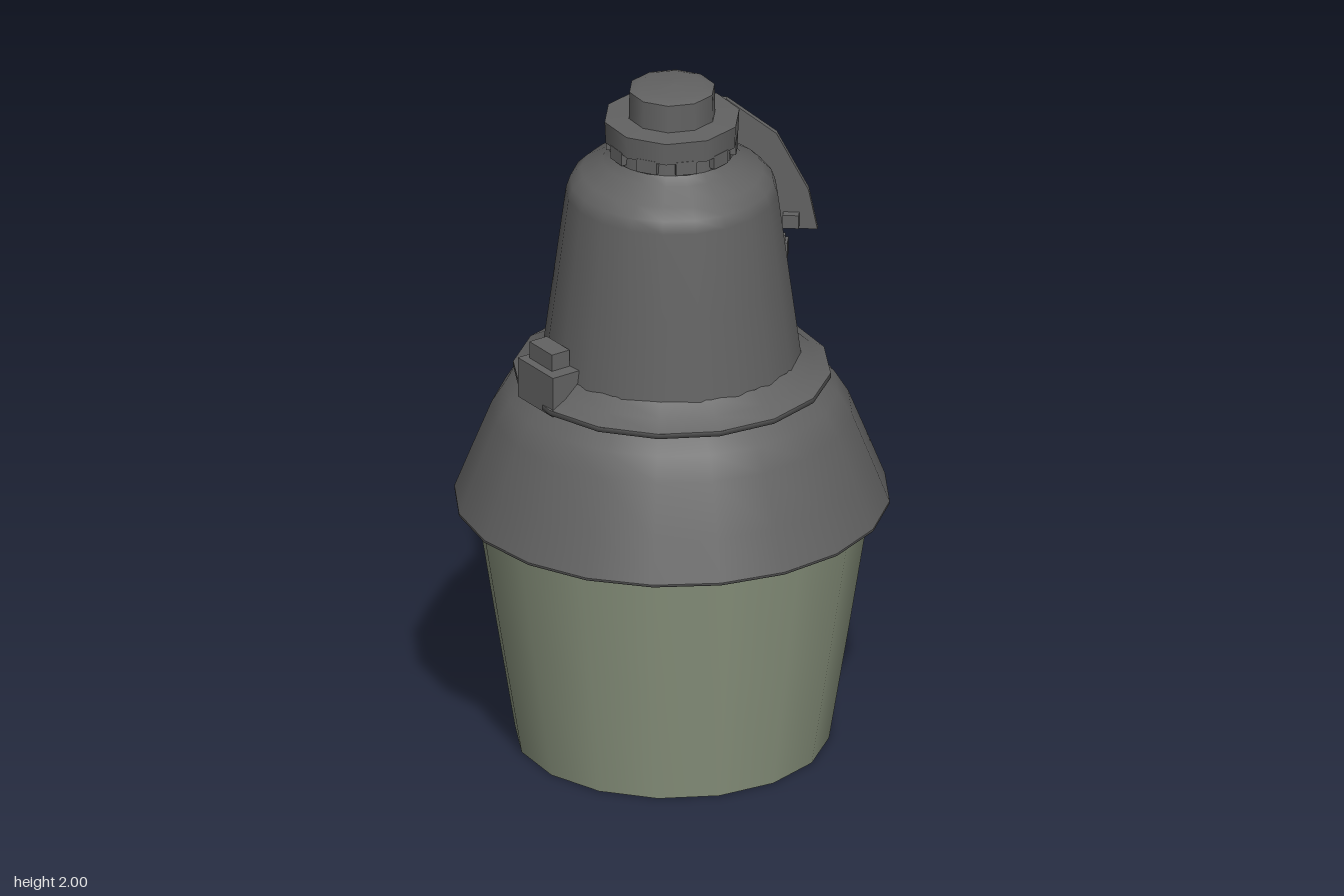
import * as THREE from 'three';
import { ParametricGeometry } from 'three/addons/geometries/ParametricGeometry.js';

const AXIS_Z = 0.165; // lamp axis

export function createModel() {
  const root = new THREE.Group();
  root.name = 'yardLight';
  const mat = (name, color) => {
    const m = new THREE.MeshStandardMaterial({ color, side: THREE.DoubleSide });
    m.name = name;
    return m;
  };
  const metal = mat('greyMetal', 0x626262);
  const glass = mat('greenGlass', 0x8b957f);
  const red = mat('redWire', 0x8c3e30);

  const add = (name, geo, material, x = 0, y = 0, z = 0, parent = root) => {
    const mesh = new THREE.Mesh(geo, material);
    mesh.name = name;
    mesh.position.set(x, y, z);
    parent.add(mesh);
    return mesh;
  };
  const lamp = new THREE.Group();
  lamp.name = 'lamp';
  lamp.position.z = AXIS_Z;
  root.add(lamp);
  const lathe = (name, pts, sides, material) =>
    add(name, new THREE.LatheGeometry(pts.map(p => new THREE.Vector2(...p)), sides), material, 0, 0, 0, lamp);

  // Glass lens with its slightly recessed bottom
  lathe('lens', [[0.44, 0], [0.5, 0.37], [0.557, 0.735]], 16, glass);
  lathe('lensBottom', [[0, 0.03], [0.3, 0.02], [0.44, 0]], 16, glass);

  // Domed shade and its underside
  lathe('shade', [[0.61, 0.735], [0.565, 0.85], [0.505, 1.0], [0.465, 1.065], [0.41, 1.115]], 20, metal);
  lathe('shadeUnderside', [[0.53, 0.735], [0.61, 0.73], [0.61, 0.737]], 20, metal);

  // Housing with base flange
  lathe('flangeUnderside', [[0.38, 1.11], [0.445, 1.11], [0.445, 1.125]], 16, metal);
  lathe('flange', [[0.445, 1.125], [0.4, 1.15], [0.362, 1.185]], 16, metal);
  lathe('housing', [[0.362, 1.18], [0.33, 1.42], [0.297, 1.67], [0.285, 1.705], [0.255, 1.735], [0.195, 1.77], [0.175, 1.795]], 20, metal);
  lathe('neck', [[0.175, 1.79], [0.172, 1.85]], 10, metal);

  // Collar, teeth and sensor on top
  lathe('collarUnderside', [[0.16, 1.835], [0.19, 1.835]], 10, metal);
  lathe('collar', [[0.19, 1.835], [0.193, 1.9]], 10, metal);
  lathe('collarTop', [[0.193, 1.9], [0.11, 1.905]], 10, metal);
  lathe('sensor', [[0.124, 1.9], [0.122, 1.985]], 10, metal);
  lathe('sensorTop', [[0.122, 1.985], [0.09, 1.997], [0, 2.0]], 10, metal);
  for (let i = 0; i < 10; i++) {
    const a = (i + 0.5) * Math.PI / 5;
    const tooth = add('collarTooth', new THREE.BoxGeometry(0.06, 0.04, 0.02), metal,
      Math.sin(a) * 0.172, 1.82, Math.cos(a) * 0.172, lamp);
    tooth.rotation.y = a;
  }

  // Latch on the flange
  const latch = new THREE.Group();
  latch.name = 'latch';
  latch.position.set(-0.325, 0, 0.375);
  latch.rotation.y = -0.87;
  root.add(latch);
  add('latchBase', new THREE.BoxGeometry(0.17, 0.12, 0.11), metal, 0.01, 1.165, 0, latch);
  add('latchBlock', new THREE.BoxGeometry(0.11, 0.05, 0.06), metal, 0, 1.25, 0, latch);

  // Arched arm, open below, widening where it meets the housing
  add('arm', new ParametricGeometry((u, v, p) => {
    const a = u * Math.PI;
    const z = -0.02 - 0.64 * v;
    const flare = Math.max(0, 1 - v / 0.45) ** 2;
    const c = Math.cos(a);
    const w = 0.216 + 0.05 * flare;
    const y0 = 1.19 - 0.08 * flare;
    p.set(w * Math.sign(c) * Math.abs(c) ** 0.8, y0 + (1.452 - y0 + 0.02 * flare) * Math.sin(a) ** 0.85, z);
  }, 20, 14), metal);

  // Horseshoe flange at the end of the arm
  const arch = new THREE.Shape();
  arch.moveTo(0.335, 1.18);
  arch.lineTo(0.31, 1.3);
  arch.lineTo(0.22, 1.47);
  arch.lineTo(0.08, 1.57);
  arch.lineTo(-0.08, 1.57);
  arch.lineTo(-0.22, 1.47);
  arch.lineTo(-0.31, 1.3);
  arch.lineTo(-0.335, 1.18);
  arch.lineTo(-0.21, 1.18);
  arch.absellipse(0, 1.19, 0.208, 0.25, Math.PI, 0, true);
  arch.lineTo(0.21, 1.18);
  add('armFlange', new THREE.ExtrudeGeometry(arch, { depth: 0.018, bevelEnabled: false, curveSegments: 10 }), metal, 0, 0, -0.675);

  // Bolts on the flange, and clamps beside the arm
  add('topBolt', new THREE.ConeGeometry(0.02, 0.08, 6).rotateX(-Math.PI / 2), metal, 0, 1.55, -0.68);
  for (const s of [-1, 1]) {
    add('sideBolt', new THREE.BoxGeometry(0.025, 0.03, 0.11), metal, s * 0.262, 1.21, -0.695);
    add('boltHead', new THREE.BoxGeometry(0.045, 0.04, 0.025), metal, s * 0.262, 1.21, -0.645);
    add('clamp', new THREE.BoxGeometry(0.07, 0.045, 0.045), metal, s * 0.238, 1.23, -0.425);
    add('clampScrew', new THREE.CylinderGeometry(0.016, 0.016, 0.11, 6), metal, s * 0.252, 1.215, -0.425);
  }

  // Loose wires hanging from the arm
  const wire = (name, pts, r, material) => add(name, new THREE.TubeGeometry(
    new THREE.CatmullRomCurve3(pts.map(p => new THREE.Vector3(...p))), 14, r, 5), material);
  wire('redWire', [[0.12, 1.3, -0.45], [0.14, 1.2, -0.6], [0.12, 1.14, -0.68], [0.08, 1.17, -0.73], [0.055, 1.26, -0.775]], 0.013, red);
  wire('shortRedWire', [[-0.115, 1.19, -0.715], [-0.123, 1.2, -0.745], [-0.12, 1.21, -0.775]], 0.008, red);
  wire('darkWire', [[-0.06, 1.32, -0.5], [-0.095, 1.26, -0.67], [-0.11, 1.2, -0.7], [-0.118, 1.19, -0.73]], 0.009, metal);

  // Worn spots lying on the lens wall
  for (const [x, z, y, w, h] of [[0.34, -0.425, 0.645, 0.065, 0.038], [-0.23, -0.49, 0.69, 0.038, 0.028], [-0.32, -0.43, 0.7, 0.022, 0.016]]) {
    const a = Math.atan2(x, z);
    const r = 0.545 - (0.7 - y) * 0.155 + 0.01;
    const spot = add('lensSpot', new THREE.CircleGeometry(1, 10).scale(w, h, 1), metal,
      Math.sin(a) * r, y, Math.cos(a) * r, lamp);
    spot.rotation.set(0.156, a, 0, 'YXZ');
  }
  return root;
}
